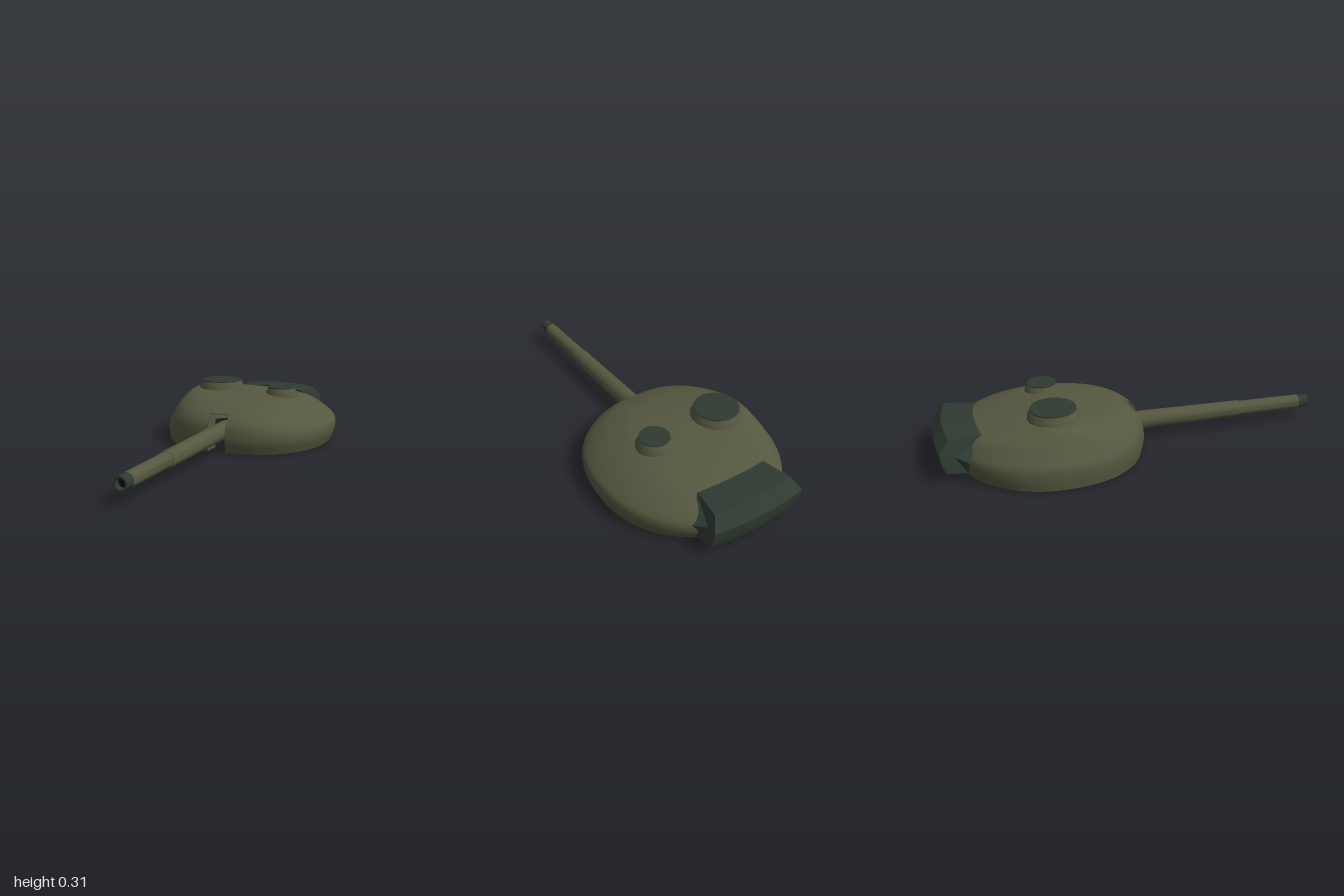
import * as THREE from 'three';
import { toCreasedNormals } from 'three/addons/utils/BufferGeometryUtils.js';

const paint = (color, side = THREE.DoubleSide) => new THREE.MeshStandardMaterial({ color, side });
const olive = paint(0x55573f);
const dark = paint(0x2f3a32);
const black = paint(0x0c0c0c);
const GUN_X = -0.027, GUN_Y = 0.098, SLOT = [-0.075, 0.025];
const CUPOLAS = [
  { x: -0.198, z: -0.427, r: 0.112, base: 0.245, top: 0.306, sides: 18 },
  { x: 0.165, z: -0.427, r: 0.075, base: 0.222, top: 0.286, sides: 16 },
];

function add(parent, name, geometry, material) {
  const mesh = new THREE.Mesh(geometry, material);
  mesh.name = name;
  parent.add(mesh);
  return mesh;
}

const lathe = (pts, sides) =>
  toCreasedNormals(new THREE.LatheGeometry(pts.map(p => new THREE.Vector2(...p)), sides), 0.6);

// Indexed surface from a rows x cols grid of points; keep() may leave quads out
function gridSurface(rows, keep = () => true) {
  const cols = rows[0].length, index = [];
  for (let i = 0; i < rows.length - 1; i++) {
    for (let j = 0; j < cols; j++) {
      const k = (j + 1) % cols;
      const corners = [rows[i][j], rows[i][k], rows[i + 1][k], rows[i + 1][j]];
      const mid = corners.reduce((s, c) => s.add(c), new THREE.Vector3()).multiplyScalar(0.25);
      if (!keep(mid)) continue;
      const a = i * cols + j, b = i * cols + k;
      index.push(a, b, b + cols, a, b + cols, a + cols);
    }
  }
  const g = new THREE.BufferGeometry().setFromPoints(rows.flat());
  g.setIndex(index);
  g.computeVertexNormals();
  return g;
}

// Cast dome: horizontal rings, each with its own reach to the four sides
function domeGeometry() {
  // y, -x reach, +x reach, front z, back z
  const rings = [
    [0, -0.455, 0.44, 0.04, -0.89],
    [0.06, -0.46, 0.46, 0.055, -0.93],
    [0.11, -0.455, 0.455, 0.051, -0.935],
    [0.15, -0.43, 0.412, 0.038, -0.91],
    [0.195, -0.402, 0.34, -0.01, -0.85],
    [0.235, -0.375, 0.245, -0.12, -0.69],
    [0.255, -0.355, 0.08, -0.25, -0.58],
    [0.263, -0.3, -0.05, -0.35, -0.5],
    [0.264, -0.15, -0.148, -0.429, -0.431],
  ];
  const tracks = [1, 2, 3, 4].map(k =>
    new THREE.CatmullRomCurve3(rings.map(r => new THREE.Vector3(r[k], r[0], 0))));
  const rows = [], steps = 56, cols = 120, p = 2.3;
  for (let i = 0; i <= steps; i++) {
    const f = (i / steps) * (rings.length - 1) / (rings.length - 1);
    const [xl, xr, zf, zb] = tracks.map(c => c.getPoint(f).x);
    const y = tracks[0].getPoint(f).y;
    const cx = (xl + xr) / 2, cz = -0.43, row = [];
    for (let j = 0; j < cols; j++) {
      const t = (j / cols) * Math.PI * 2, s = Math.sin(t), c = Math.cos(t);
      const e = c > 0 ? p : 2;
      const r = 1 / Math.pow(Math.abs(s) ** e + Math.abs(c) ** e, 1 / e);
      let x = cx + s * r * (s > 0 ? xr - cx : cx - xl);
      const z = cz + c * r * (c > 0 ? zf - cz : cz - zb);
      // line columns up with the edges of the gun slot
      if (c > 0 && y < 0.21) for (const edge of SLOT) if (Math.abs(x - edge) < 0.0125) x = edge;
      row.push(new THREE.Vector3(x, y, z));
    }
    rows.push(row);
  }
  return gridSurface(rows, m => {
    const inSlot = m.z > -0.2 && m.y < 0.192 && m.x > SLOT[0] && m.x < SLOT[1];
    const inHatch = m.y > 0.18 && CUPOLAS.some(c => Math.hypot(m.x - c.x, m.z - c.z) < c.r * 0.95);
    return !inSlot && !inHatch;
  });
}

// Rear bin: a section swept across the back, bowed and slightly drooping at the ends
function binGeometry() {
  // y, z, half width, z bow at the ends, y droop at the ends
  const section = [
    [0.225, -0.795, 0.19, 0.025, 0.02],
    [0.222, -0.95, 0.215, 0.025, 0.012],
    [0.16, -0.998, 0.248, 0.025, 0.005],
    [0.115, -0.995, 0.25, 0.025, 0],
    [0.05, -0.972, 0.24, 0.022, 0],
    [0.05, -0.85, 0.255, 0, 0],
    [0.11, -0.842, 0.276, 0, 0],
  ];
  const rows = [], n = 12;
  const at = u => section.map(([y, z, w, bow, droop]) =>
    new THREE.Vector3(-0.016 + u * w, y - droop * u * u, z + bow * u * u));
  // end walls close onto a slightly sunken middle point
  const hub = u => section.map(() => new THREE.Vector3(-0.016 + u * 0.232, 0.13, -0.905));
  rows.push(hub(-1));
  for (let i = 0; i <= n; i++) rows.push(at((i / n) * 2 - 1));
  rows.push(hub(1));
  return toCreasedNormals(gridSurface(rows), 0.5);
}

export function createModel() {
  const model = new THREE.Group();
  model.name = 'turret';
  add(model, 'domeShell', domeGeometry(), olive);
  add(model, 'rearBin', binGeometry(), dark);

  // Cheeks and roof of the gun slot
  const slot = new THREE.Group();
  slot.name = 'gunSlot';
  model.add(slot);
  const cheek = new THREE.Shape([[0.037, 0], [0.052, 0.06], [0.047, 0.11], [0.035, 0.15],
    [-0.008, 0.192], [-0.06, 0.192], [-0.06, 0]].map(p => new THREE.Vector2(...p)));
  for (const x of SLOT) {
    const wall = add(slot, 'slotCheek', new THREE.ShapeGeometry(cheek), olive);
    wall.rotation.y = -Math.PI / 2;
    wall.position.x = x;
  }
  const roof = add(slot, 'slotRoof', new THREE.BoxGeometry(SLOT[1] - SLOT[0], 0.004, 0.05), olive);
  roof.position.set((SLOT[0] + SLOT[1]) / 2, 0.192, -0.035);

  // Gun, turned around its own axis and laid along z
  const gun = new THREE.Group();
  gun.name = 'gun';
  gun.position.set(GUN_X, GUN_Y, 0);
  gun.rotation.x = Math.PI / 2;
  model.add(gun);
  add(gun, 'barrel', lathe([[0, -0.09], [0.047, -0.09], [0.047, 0.06], [0.042, 0.6],
    [0.038, 0.602], [0.036, 0.945]], 14), olive);
  add(gun, 'muzzle', lathe([[0.036, 0.945], [0.034, 0.947], [0.034, 1], [0.025, 1], [0.024, 0.93]], 14), dark);
  const bore = add(gun, 'bore', new THREE.CylinderGeometry(0.0245, 0.0245, 0.01, 14), black);
  bore.position.y = 0.965;

  // Cupolas with flared skirts and flat lids
  for (const c of CUPOLAS) {
    const cupola = new THREE.Group();
    cupola.name = 'cupola';
    cupola.position.set(c.x, 0, c.z);
    model.add(cupola);
    add(cupola, 'cupolaSkirt', lathe([[c.r + 0.018, c.base], [c.r + 0.015, c.top - 0.037],
      [c.r + 0.004, c.top - 0.016], [c.r, c.top - 0.005]], c.sides), olive);
    const lid = add(cupola, 'hatchLid', new THREE.CylinderGeometry(c.r, c.r, 0.007, c.sides), dark);
    lid.position.y = c.top - 0.0035;
  }
  return model;
}
